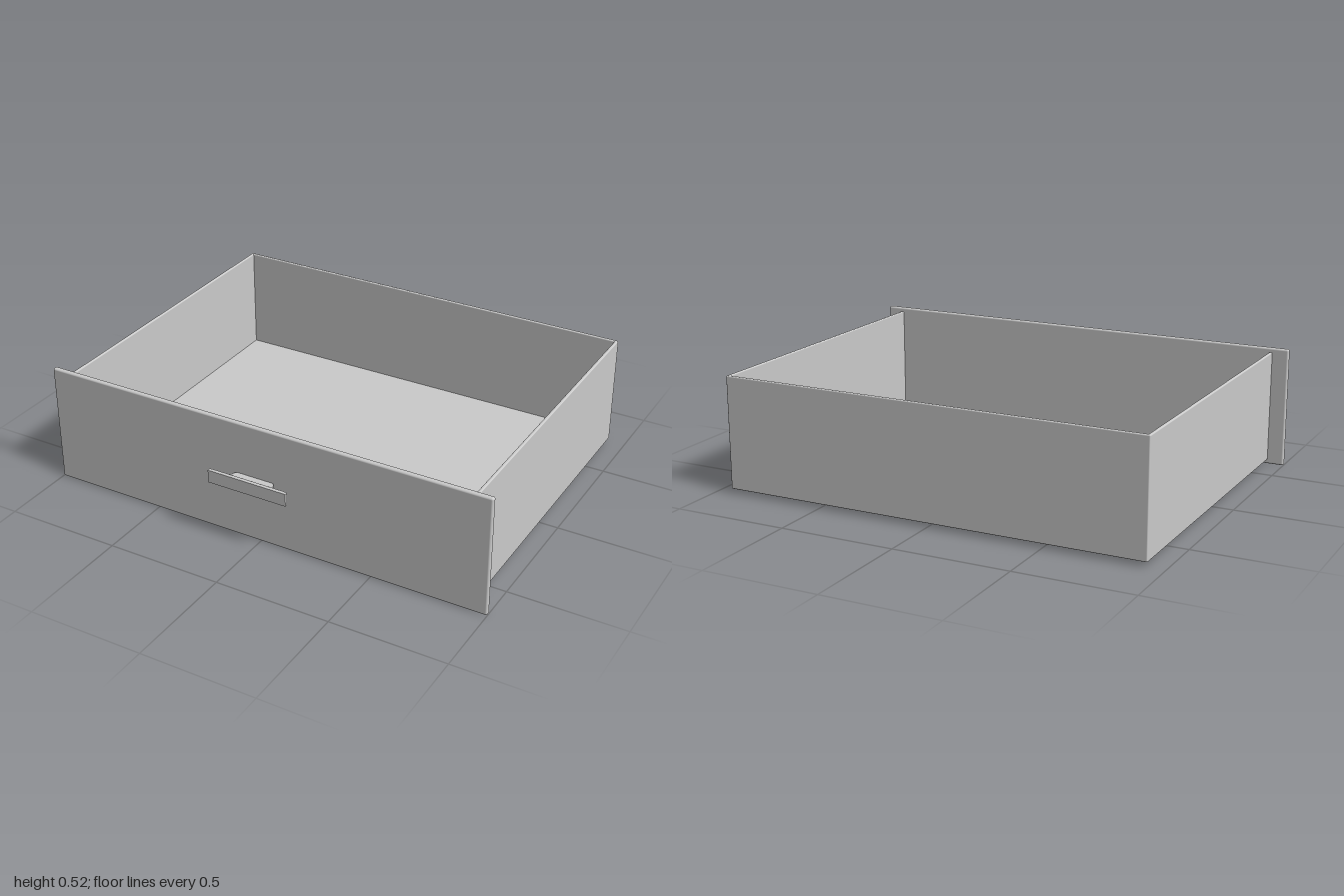
import * as THREE from 'three';
import { RoundedBoxGeometry } from 'three/addons/geometries/RoundedBoxGeometry.js';
import { toCreasedNormals } from 'three/addons/utils/BufferGeometryUtils.js';

const material = new THREE.MeshStandardMaterial({ color: 0xcccccc });

// Softly rounded board given by its minimum and maximum corners
function board(name, min, max, radius) {
  const size = max.map((v, i) => v - min[i]);
  const mesh = new THREE.Mesh(new RoundedBoxGeometry(...size, 3, radius), material);
  mesh.position.set(...min.map((v, i) => v + size[i] / 2));
  mesh.name = name;
  return mesh;
}

// Rectangular sections [z, half width, half height] joined along z
function loft(sections) {
  const points = [];
  const index = [];
  for (const [z, w, h] of sections) points.push(-w, -h, z, w, -h, z, w, h, z, -w, h, z);
  for (let s = 0; s < sections.length - 1; s++) {
    for (let i = 0; i < 4; i++) {
      const a = s * 4 + i;
      const b = s * 4 + ((i + 1) % 4);
      index.push(a, b, b + 4, a, b + 4, a + 4);
    }
  }
  const e = (sections.length - 1) * 4;
  index.push(0, 2, 1, 0, 3, 2, e, e + 1, e + 2, e, e + 2, e + 3);
  const geometry = new THREE.BufferGeometry();
  geometry.setAttribute('position', new THREE.Float32BufferAttribute(points, 3));
  geometry.setIndex(index);
  return toCreasedNormals(geometry, 0.6);
}

export function createModel() {
  const drawer = new THREE.Group();
  drawer.name = 'drawer';

  // Open tray behind the front
  const tray = new THREE.Group();
  tray.name = 'tray';
  const wall = 0.014, x = 0.93, bottom = 0.02, top = 0.505, back = -0.745, front = 0.652;
  tray.add(
    board('leftWall', [x - wall, bottom, back], [x, top, front], 0.005),
    board('rightWall', [-x, bottom, back], [-x + wall, top, front], 0.005),
    board('backWall', [-x, bottom, back], [x, top, back + wall], 0.005),
    board('floor', [-x + 0.002, bottom, back + 0.002], [x - 0.002, 0.044, front], 0.005),
  );
  drawer.add(tray);

  // Overhanging front panel
  drawer.add(board('frontPanel', [-1, 0, 0.654], [1, 0.522, 0.677], 0.008));

  // Pull handle: narrow neck flaring into a wide bar
  const handle = new THREE.Mesh(loft([
    [0.68, 0.082, 0.012],
    [0.688, 0.091, 0.012],
    [0.704, 0.098, 0.012],
    [0.711, 0.106, 0.014],
    [0.717, 0.121, 0.019],
    [0.725, 0.152, 0.025],
    [0.73, 0.174, 0.028],
    [0.733, 0.179, 0.028],
    [0.745, 0.179, 0.028],
  ]), material);
  handle.name = 'handle';
  handle.position.set(-0.017, 0.284, 0);
  drawer.add(handle);

  return drawer;
}
